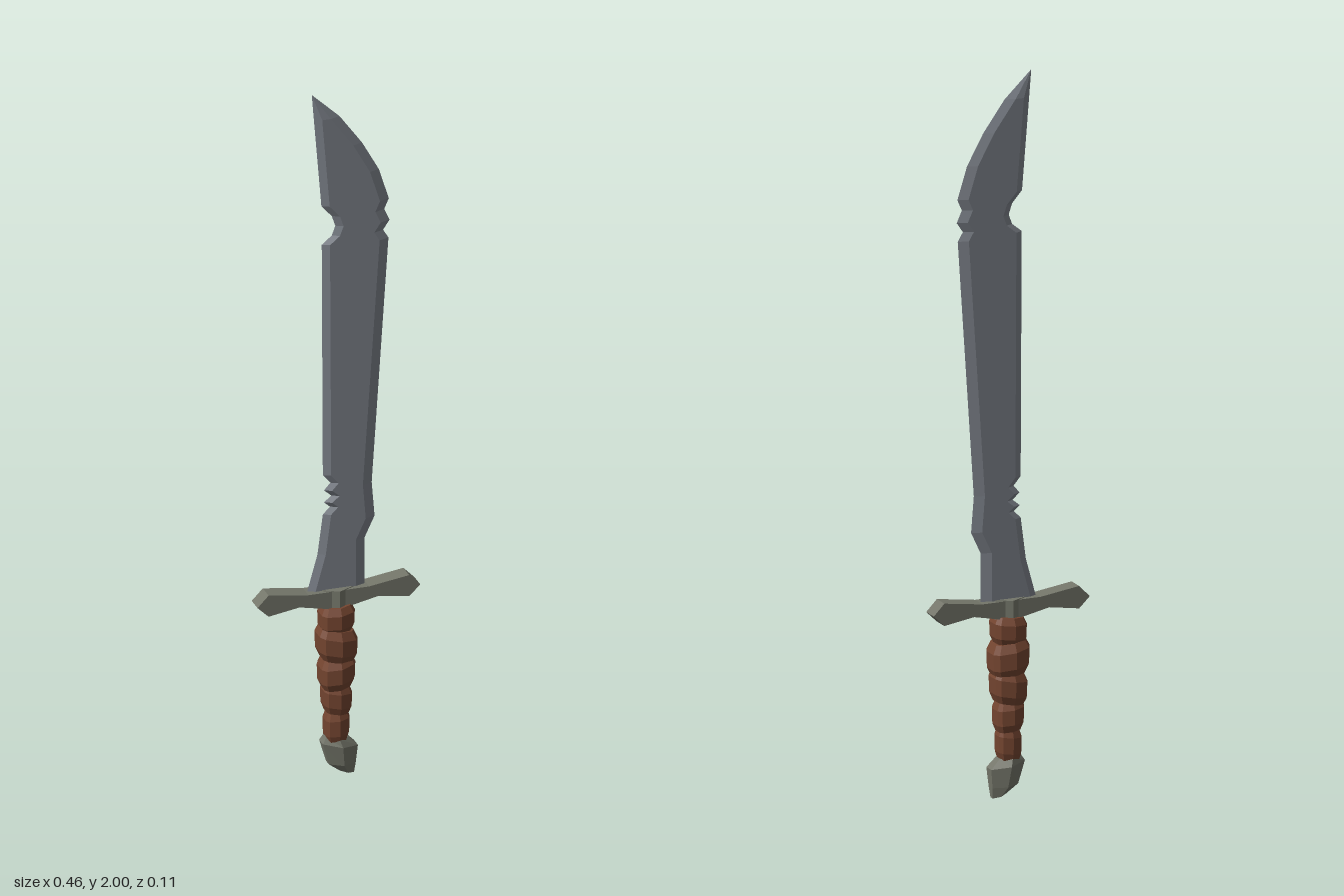
import * as THREE from 'three';

const material = (color) => new THREE.MeshStandardMaterial({ color, flatShading: true });

// Skin a stack of rings, listed from bottom to top, and cap both ends.
function loft(rings) {
  const n = rings[0].length, pos = [];
  const tri = (...pts) => pts.forEach((p) => pos.push(...p));
  for (let i = 0; i < rings.length - 1; i++) {
    for (let j = 0; j < n; j++) {
      const k = (j + 1) % n;
      tri(rings[i][j], rings[i + 1][j], rings[i + 1][k]);
      tri(rings[i][j], rings[i + 1][k], rings[i][k]);
    }
  }
  const bottom = rings[0], top = rings[rings.length - 1];
  for (let j = 1; j < n - 1; j++) {
    tri(bottom[0], bottom[j], bottom[j + 1]);
    tri(top[0], top[j + 1], top[j]);
  }
  const geo = new THREE.BufferGeometry();
  geo.setAttribute('position', new THREE.Float32BufferAttribute(pos, 3));
  geo.computeVertexNormals();
  return geo;
}

function part(name, geo, mat) {
  const mesh = new THREE.Mesh(geo, mat);
  mesh.name = name;
  return mesh;
}

// x of an edge profile [x, y] at height y
function edgeAt(edge, y) {
  for (let i = 0; i < edge.length - 1; i++) {
    const [x0, y0] = edge[i], [x1, y1] = edge[i + 1];
    if (y <= y1) return x0 + (x1 - x0) * (y - y0) / (y1 - y0);
  }
  return edge[edge.length - 1][0];
}

// Blade: two notched edges joined by bevelled cross-sections
function bladeGeometry() {
  const spine = [
    [-0.085, 0.53], [-0.052, 0.65], [-0.037, 0.765], [-0.017, 0.785], [-0.034, 0.8],
    [-0.013, 0.817], [-0.034, 0.835], [-0.016, 0.855], [-0.037, 0.88], [-0.04, 1.557],
    [-0.012, 1.58], [-0.002, 1.607], [-0.012, 1.637], [-0.041, 1.67], [-0.068, 2],
  ];
  const cutting = [
    [0.08, 0.53], [0.08, 0.68], [0.108, 0.74], [0.1, 0.84], [0.147, 1.55],
    [0.132, 1.575], [0.15, 1.602], [0.135, 1.635], [0.148, 1.665], [0.12, 1.755],
    [0.073, 1.84], [0.01, 1.927], [-0.067, 2],
  ];
  const heights = [...new Set([...spine, ...cutting].map((p) => p[1]))].sort((a, b) => a - b);
  return loft(heights.map((y) => {
    const l = edgeAt(spine, y), r = edgeAt(cutting, y), w = r - l;
    const bl = Math.min(0.02, w * 0.3), br = Math.min(0.028, w * 0.4);
    const t = 0.01 * Math.min(1, w / 0.04);
    return [[r, y, 0], [r - br, y, t], [l + bl, y, t], [l, y, 0], [l + bl, y, -t], [r - br, y, -t]];
  }));
}

// Crossguard: mirrored outline extruded front to back
function guardGeometry() {
  const half = [
    [0.03, 0.497], [0.11, 0.514], [0.197, 0.5], [0.228, 0.53], [0.197, 0.562], [0.085, 0.546],
  ];
  const outline = [...half, ...half.map(([x, y]) => [-x, y]).reverse()];
  const shape = new THREE.Shape(outline.map(([x, y]) => new THREE.Vector2(x, y)));
  const geo = new THREE.ExtrudeGeometry(shape, { depth: 0.048, bevelEnabled: false });
  return geo.translate(0, 0, -0.024);
}

// Eight-sided ring, pointed front and back; the slope tilts it sideways
function gripRing(y, rx, rz, slope) {
  const quarter = [[1, 0.4], [0.8, 0.74], [0, 1], [-0.8, 0.74], [-1, 0.4]];
  const ring = [...quarter, ...quarter.map(([x, z]) => [-x, -z])];
  return ring.map(([x, z]) => [x * rx, y + x * rx * slope, z * rz]);
}

// Pommel ring: hexagon running from xl to xr, with separate end heights
function pommelRing([xl, yl, xr, yr, rz]) {
  const at = (f, z) => [xl + (xr - xl) * f, yl + (yr - yl) * f, z * rz];
  return [at(1, 0.4), at(0.5, 1), at(0, 0.4), at(0, -0.4), at(0.5, -1), at(1, -0.4)];
}

export function createModel() {
  const sword = new THREE.Group();
  sword.name = 'sword';
  const steel = material(0x7d828a), iron = material(0x74766a), leather = material(0x744530);

  sword.add(part('blade', bladeGeometry(), steel));
  sword.add(part('crossguard', guardGeometry(), iron));

  // Hexagonal block at the middle of the guard
  const boss = [0.495, 0.548].map((y) => [
    [0.042, y, 0.012], [0, y, 0.034], [-0.042, y, 0.012],
    [-0.042, y, -0.012], [0, y, -0.034], [0.042, y, -0.012],
  ]);
  sword.add(part('guardBlock', loft(boss), iron));

  // Grip: bulging leather wraps [bottom, top, half width, half depth, slope]
  const grip = new THREE.Group();
  grip.name = 'grip';
  const wraps = [
    [0.1, 0.19, 0.033, 0.037, 0.1], [0.185, 0.268, 0.039, 0.045, -0.12],
    [0.26, 0.348, 0.047, 0.053, 0.15], [0.34, 0.432, 0.053, 0.057, -0.15],
    [0.422, 0.5, 0.046, 0.05, 0.08],
  ];
  wraps.forEach(([y0, y1, rx, rz, slope], i) => {
    const h = y1 - y0;
    const rings = [[0, 0.78], [0.25, 0.97], [0.75, 1], [1, 0.8]]
      .map(([f, s]) => gripRing(y0 + h * f, rx * s, rz * s, slope));
    grip.add(part('wrap' + (i + 1), loft(rings), leather));
  });
  sword.add(grip);

  // Pommel: crooked faceted cap
  const pommel = [
    [0.008, 0.01, 0.048, 0, 0.018], [-0.024, 0.035, 0.051, 0.03, 0.031],
    [-0.042, 0.098, 0.056, 0.082, 0.04], [-0.031, 0.116, 0.031, 0.108, 0.031],
  ];
  sword.add(part('pommel', loft(pommel.map(pommelRing)), iron));
  return sword;
}
